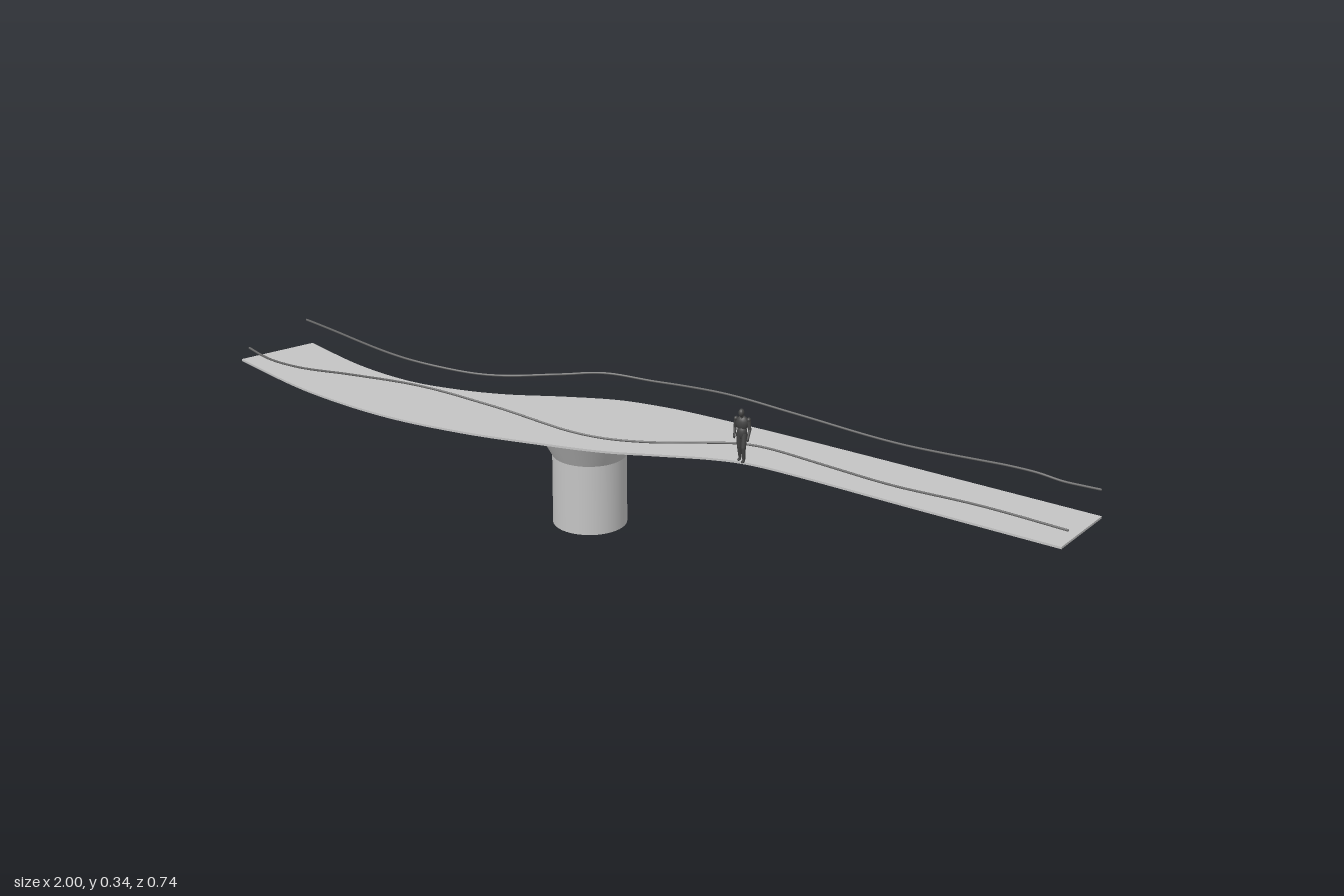
import * as THREE from 'three';

const concrete = new THREE.MeshStandardMaterial({ color: 0xc4c4c4 });
concrete.name = 'concrete grey';
const steel = new THREE.MeshStandardMaterial({ color: 0x666666 });
steel.name = 'rail steel';
const dark = new THREE.MeshStandardMaterial({ color: 0x444444 });
dark.name = 'figure charcoal';

const DECK_TOP = 0.223;
const v2 = (a) => new THREE.Vector2(a[0], a[1]);

// Plan curves of the two deck edges, as x and z
const backEdge = new THREE.SplineCurve([
  [-0.975, 0.172], [-0.78, 0.184], [-0.62, 0.166], [-0.5, 0.12], [-0.4, 0.06], [-0.3, -0.025],
  [-0.2, -0.1], [-0.1, -0.145], [0, -0.175], [0.2, -0.222], [0.5, -0.283], [0.96, -0.373],
].map(v2));
const frontEdge = new THREE.SplineCurve([
  [-1, 0.36], [-0.74, 0.371], [-0.5, 0.343], [-0.3, 0.28], [-0.13, 0.2], [0, 0.13],
  [0.1, 0.055], [0.19, -0.012], [0.27, -0.052], [0.4, -0.082], [0.65, -0.127], [1, -0.193],
].map(v2));

function mesh(name, geometry, material) {
  const m = new THREE.Mesh(geometry, material);
  m.name = name;
  return m;
}

// Thin slab between the two edge curves
function makeDeck() {
  const outline = [...frontEdge.getPoints(120), ...backEdge.getPoints(120).reverse()];
  const shape = new THREE.Shape(outline.map((p) => new THREE.Vector2(p.x, -p.y)));
  const geo = new THREE.ExtrudeGeometry(shape, { depth: 0.005, bevelEnabled: false });
  geo.rotateX(-Math.PI / 2);
  geo.translate(0, DECK_TOP - 0.005, 0);
  return mesh('deck', geo, concrete);
}

// Rail following an edge at an inset, with its height waving along x
function makeRail(name, edge, inset, heights) {
  const wave = new THREE.SplineCurve(heights.map(v2)).getPoints(300);
  const heightAt = (x) => {
    const i = wave.findIndex((p) => p.x >= x);
    if (i <= 0) return (i === 0 ? wave[0] : wave[wave.length - 1]).y;
    const a = wave[i - 1], b = wave[i];
    return a.y + ((b.y - a.y) * (x - a.x)) / (b.x - a.x);
  };
  const points = [];
  for (let i = 0; i <= 90; i++) {
    const p = edge.getPoint(i / 90);
    const t = edge.getTangent(i / 90);
    const x = p.x - t.y * inset, z = p.y + t.x * inset;
    points.push(new THREE.Vector3(x, heightAt(x), z));
  }
  const path = new THREE.CatmullRomCurve3(points);
  const rail = new THREE.Group();
  rail.name = name;
  rail.add(mesh('railTube', new THREE.TubeGeometry(path, 240, 0.0026, 8), steel));
  for (const p of [points[0], points[90]]) {
    const cap = mesh('railEnd', new THREE.SphereGeometry(0.0026, 8, 6), steel);
    cap.position.copy(p);
    rail.add(cap);
  }
  return rail;
}

// Round pier with a flared head
function makePier() {
  const pier = new THREE.Group();
  pier.name = 'pier';
  const column = mesh('column', new THREE.CylinderGeometry(0.083, 0.083, 0.163, 48), concrete);
  column.position.y = 0.0815;
  const head = mesh('flaredHead', new THREE.CylinderGeometry(0.111, 0.083, 0.05, 48), concrete);
  head.position.y = 0.188;
  pier.add(column, head);
  pier.position.set(-0.12, 0, 0.058);
  return pier;
}

// Walking figure, facing its own +z
function makeFigure() {
  const figure = new THREE.Group();
  figure.name = 'walkingFigure';
  const limb = (name, a, b, rA, rB) => {
    const from = new THREE.Vector3(...a), to = new THREE.Vector3(...b);
    const dir = to.clone().sub(from);
    const m = mesh(name, new THREE.CylinderGeometry(rB, rA, dir.length(), 10), dark);
    m.position.copy(from).add(to).multiplyScalar(0.5);
    m.quaternion.setFromUnitVectors(new THREE.Vector3(0, 1, 0), dir.normalize());
    figure.add(m);
  };
  const blob = (name, p, s) => {
    const m = mesh(name, new THREE.SphereGeometry(1, 14, 10), dark);
    m.position.set(...p);
    m.scale.set(...s);
    figure.add(m);
  };
  blob('head', [0, 0.113, 0.005], [0.0065, 0.009, 0.0075]);
  limb('neck', [0, 0.098, 0], [0, 0.108, 0.003], 0.004, 0.0035);
  blob('chest', [0, 0.087, -0.002], [0.0145, 0.017, 0.0095]);
  blob('hips', [0, 0.066, -0.001], [0.0115, 0.016, 0.009]);
  // Each side swings opposite to the other
  for (const [side, swing] of [[1, 1], [-1, -1]]) {
    const x = side * 0.006;
    const kneeZ = swing > 0 ? 0.006 : -0.001;
    const ankleZ = swing > 0 ? 0.003 : -0.007;
    limb('thigh', [x, 0.064, 0], [x, 0.033, kneeZ], 0.0068, 0.005);
    limb('shin', [x, 0.034, kneeZ], [x, 0.005, ankleZ], 0.005, 0.0032);
    blob('foot', [x, 0.003, ankleZ + 0.005], [0.0035, 0.003, 0.0085]);
    const shoulder = [side * 0.0145, 0.096, -0.002];
    const elbow = [side * 0.0175, 0.074, -0.003 + swing * 0.003];
    const hand = [side * 0.017, 0.055, 0.006 + swing * 0.005];
    blob('shoulder', shoulder, [0.0045, 0.005, 0.005]);
    limb('upperArm', shoulder, elbow, 0.004, 0.0034);
    limb('forearm', elbow, hand, 0.0034, 0.0024);
    blob('hand', hand, [0.0026, 0.0045, 0.003]);
  }
  figure.position.set(0.247, DECK_TOP, -0.048);
  figure.rotation.y = 0.45;
  return figure;
}

export function createModel() {
  const model = new THREE.Group();
  model.name = 'footbridge';
  const frontRail = makeRail('frontRail', frontEdge, -0.023, [
    [-1.01, 0.246], [-0.92, 0.242], [-0.8, 0.255], [-0.6, 0.287], [-0.42, 0.302], [-0.25, 0.286],
    [-0.08, 0.25], [0.05, 0.241], [0.15, 0.247], [0.27, 0.256], [0.45, 0.25], [0.6, 0.247],
    [0.8, 0.254], [1, 0.251],
  ]);
  const backRail = makeRail('backRail', backEdge, 0.013, [
    [-0.98, 0.284], [-0.8, 0.291], [-0.6, 0.282], [-0.43, 0.272], [-0.3, 0.281], [-0.22, 0.29],
    [-0.11, 0.286], [0.07, 0.292], [0.25, 0.284], [0.5, 0.275], [0.78, 0.289], [0.87, 0.284],
    [0.97, 0.287],
  ]);
  model.add(makeDeck(), makePier(), frontRail, backRail, makeFigure());
  return model;
}
